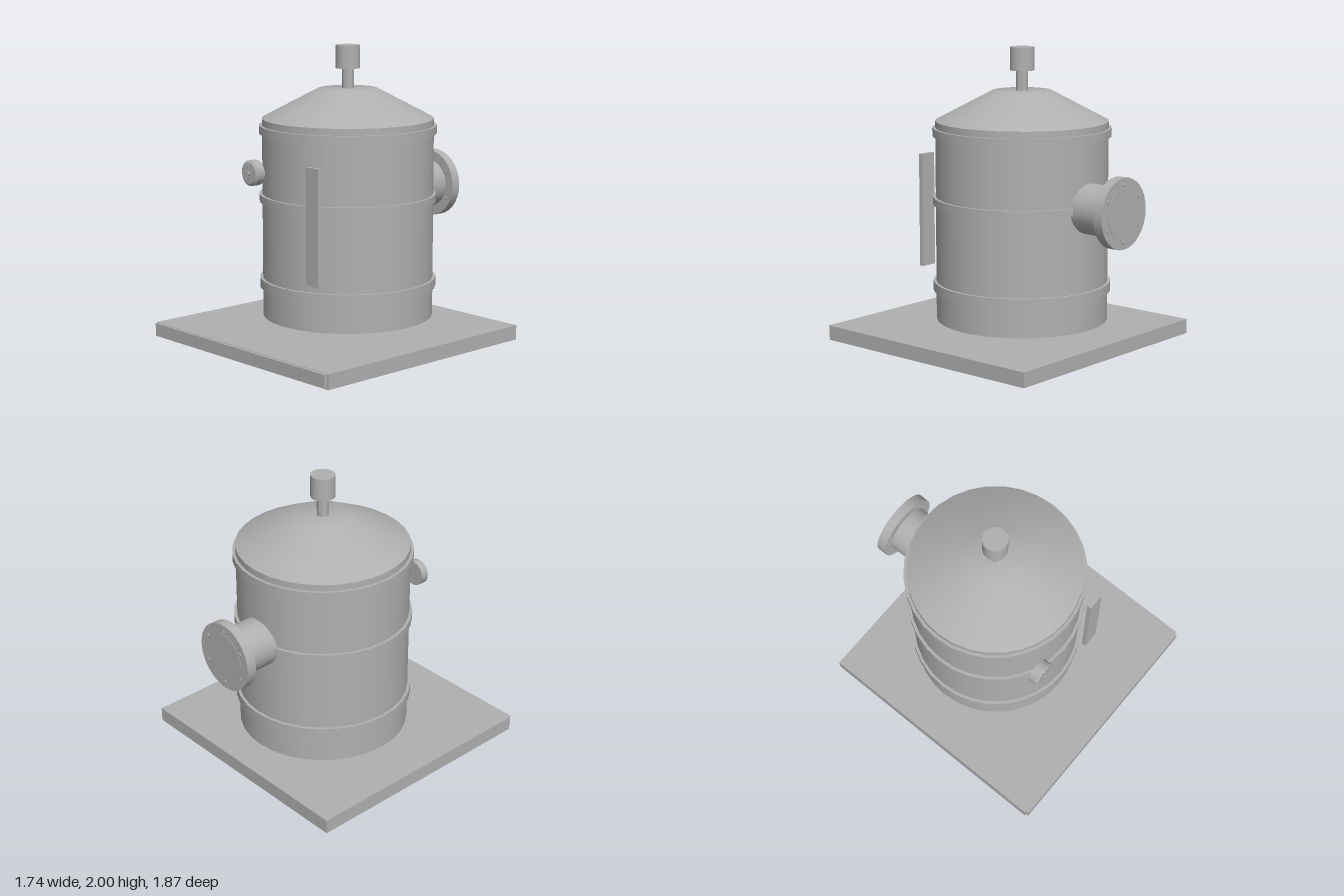
import * as THREE from 'three';

const grey = new THREE.MeshStandardMaterial({ color: 0xb0b0b0 });
grey.name = 'plain grey';
const SEG = 32;

function add(parent, name, geometry, x = 0, y = 0, z = 0) {
  const mesh = new THREE.Mesh(geometry, grey);
  mesh.name = name;
  mesh.position.set(x, y, z);
  parent.add(mesh);
  return mesh;
}

// Upright cylinder between two heights
function drum(parent, name, r, y0, y1, seg = SEG) {
  return add(parent, name, new THREE.CylinderGeometry(r, r, y1 - y0, seg), 0, (y0 + y1) / 2, 0);
}

// Cylinder lying along z between two depths
function disc(parent, name, r, z0, z1, x = 0, y = 0, seg = SEG) {
  const g = new THREE.CylinderGeometry(r, r, z1 - z0, seg).rotateX(Math.PI / 2);
  return add(parent, name, g, x, y, (z0 + z1) / 2);
}

function box(parent, name, x0, x1, y0, y1, z0, z1) {
  return add(parent, name, new THREE.BoxGeometry(x1 - x0, y1 - y0, z1 - z0),
    (x0 + x1) / 2, (y0 + y1) / 2, (z0 + z1) / 2);
}

export function createModel() {
  const model = new THREE.Group();
  model.name = 'storageTank';

  // Base slab with a thin front edging
  box(model, 'baseSlab', -0.87, 0.87, 0, 0.1, -0.83, 0.91);
  box(model, 'frontEdging', -0.857, 0.857, 0.01, 0.097, 0.91, 0.93);

  // Tank, slightly behind the middle of the slab
  const tank = new THREE.Group();
  tank.name = 'tank';
  tank.position.z = -0.07;
  model.add(tank);
  drum(tank, 'tankBody', 0.58, 0.16, 1.51);
  for (const [y0, y1] of [[0.36, 0.425], [0.95, 1.0], [1.41, 1.465]]) {
    drum(tank, 'hoopBand', 0.6, y0, y1);
  }

  // Sloping roof with a softly shaded flat crown
  const roof = [[0.58, 1.51], [0.2, 1.71], [0, 1.71]].map(([r, y]) => new THREE.Vector2(r, y));
  add(tank, 'roof', new THREE.LatheGeometry(roof, SEG));

  // Vent on the crown
  const stem = drum(tank, 'ventStem', 0.04, 1.7, 1.85, 8);
  stem.geometry = stem.geometry.toNonIndexed();
  stem.geometry.computeVertexNormals();
  drum(tank, 'ventCap', 0.082, 1.845, 2.0);

  // Flanged outlet at the back
  const outlet = new THREE.Group();
  outlet.name = 'outlet';
  outlet.position.y = 0.977;
  model.add(outlet);
  disc(outlet, 'outletPipe', 0.167, -0.87, -0.58);
  disc(outlet, 'flange', 0.235, -0.928, -0.86);
  disc(outlet, 'blankingDisc', 0.17, -0.931, -0.92);
  for (let i = 0; i < 6; i++) {
    const a = i * Math.PI / 3;
    disc(outlet, 'flangeBolt', 0.015, -0.935, -0.854, Math.sin(a) * 0.187, Math.cos(a) * 0.187, 6);
  }

  // Pressure gauge with bevelled rim, hub and pointer
  const gauge = new THREE.Group();
  gauge.name = 'gauge';
  gauge.position.set(-0.275, 1.167, 0);
  model.add(gauge);
  disc(gauge, 'gaugeCase', 0.086, 0.505, 0.56);
  const face = new THREE.CylinderGeometry(0.07, 0.086, 0.012, SEG).rotateX(Math.PI / 2);
  add(gauge, 'gaugeFace', face, 0, 0, 0.566);
  disc(gauge, 'pointerHub', 0.013, 0.57, 0.586, 0, 0, 12);
  box(gauge, 'pointer', -0.005, 0.005, 0, 0.062, 0.571, 0.58);

  // Tall level plate on the front
  box(model, 'levelPlate', 0.25, 0.367, 0.49, 1.265, 0.505, 0.535);

  return model;
}
